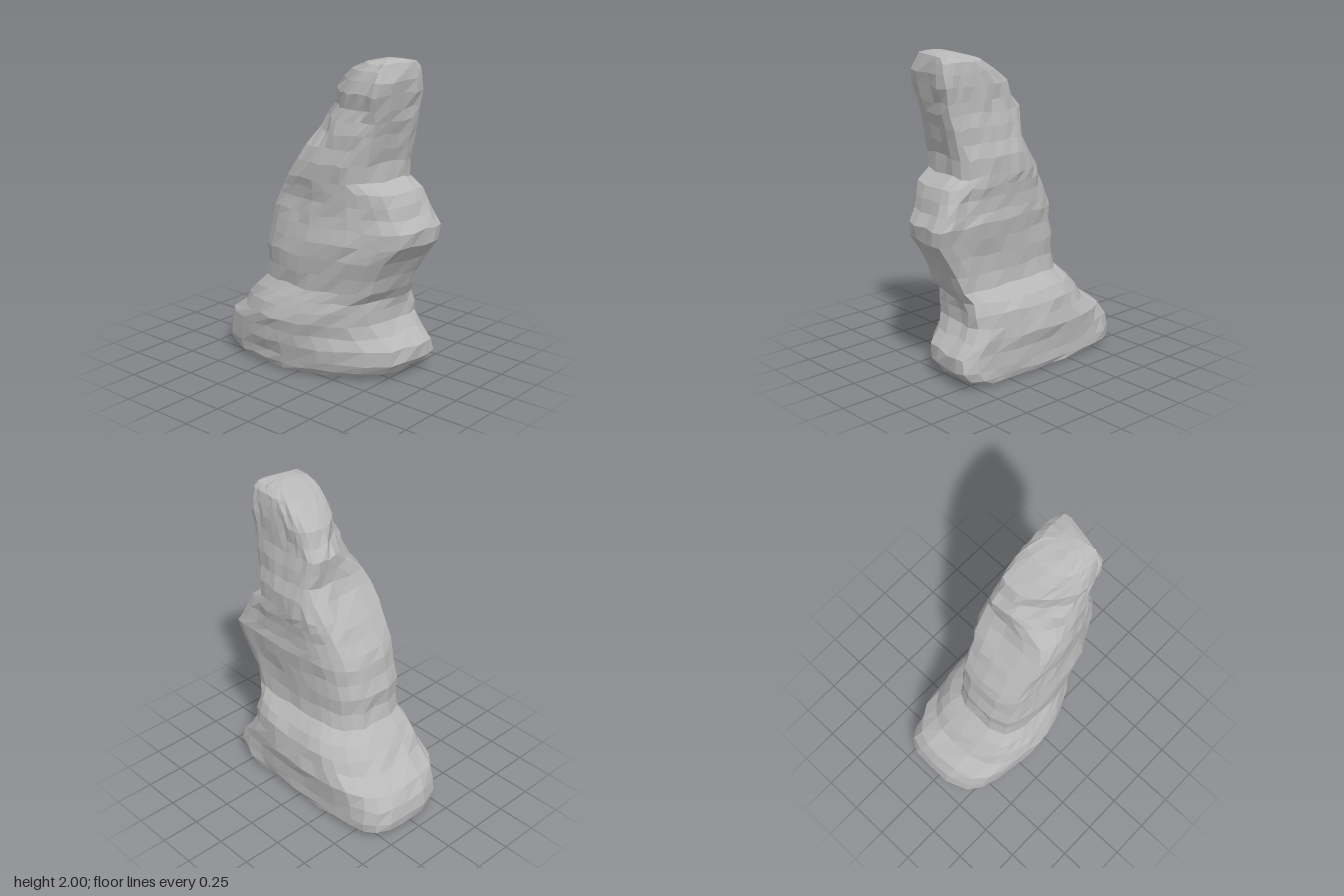
import * as THREE from 'three';

// Row: y, front z, back z, front-left x, front-right x, side x (-), side x (+), back x (-), back x (+)
const baseRows = [
  [0.015, 0.48, -0.62, -0.08, 0.31, -0.33, 0.35, -0.21, 0.27],
  [0.05, 0.56, -0.70, -0.06, 0.32, -0.35, 0.36, -0.22, 0.29],
  [0.11, 0.61, -0.71, -0.06, 0.31, -0.36, 0.36, -0.23, 0.29],
  [0.20, 0.61, -0.70, -0.06, 0.30, -0.38, 0.36, -0.23, 0.27],
  [0.28, 0.53, -0.65, -0.08, 0.30, -0.39, 0.38, -0.24, 0.23],
  [0.36, 0.48, -0.52, -0.12, 0.29, -0.40, 0.37, -0.26, 0.21],
  [0.44, 0.48, -0.46, -0.14, 0.28, -0.38, 0.36, -0.27, 0.19],
  [0.51, 0.48, -0.40, -0.15, 0.25, -0.35, 0.32, -0.27, 0.18],
  [0.58, 0.52, -0.33, -0.15, 0.21, -0.31, 0.24, -0.25, 0.15],
];
const bodyRows = [
  baseRows[8],
  [0.68, 0.56, -0.31, -0.15, 0.20, -0.32, 0.23, -0.25, 0.14],
  [0.79, 0.62, -0.32, -0.15, 0.20, -0.33, 0.23, -0.25, 0.14],
  [0.89, 0.70, -0.29, -0.13, 0.21, -0.32, 0.24, -0.26, 0.14],
  [0.99, 0.71, -0.27, -0.12, 0.23, -0.30, 0.25, -0.26, 0.15],
  [1.06, 0.66, -0.24, -0.13, 0.22, -0.29, 0.24, -0.26, 0.16],
  [1.14, 0.63, -0.19, -0.15, 0.20, -0.28, 0.24, -0.26, 0.17],
  [1.21, 0.60, -0.15, -0.16, 0.18, -0.29, 0.26, -0.26, 0.18],
  [1.27, 0.51, -0.11, -0.18, 0.18, -0.30, 0.26, -0.27, 0.19],
  [1.38, 0.51, -0.03, -0.19, 0.18, -0.30, 0.25, -0.27, 0.20],
];
const headRows = [
  bodyRows[9],
  [1.47, 0.53, 0.01, -0.19, 0.17, -0.28, 0.22, -0.24, 0.20],
  [1.56, 0.55, 0.01, -0.19, 0.17, -0.27, 0.21, -0.10, 0.19],
  [1.64, 0.57, 0.00, -0.18, 0.16, -0.25, 0.19, 0.00, 0.17],
  [1.71, 0.58, 0.06, -0.20, 0.16, -0.22, 0.18, -0.02, 0.16],
  [1.80, 0.60, 0.10, -0.22, 0.16, -0.23, 0.18, -0.05, 0.15],
  [1.88, 0.61, 0.19, -0.21, 0.15, -0.22, 0.17, -0.09, 0.14],
  [1.94, 0.60, 0.27, -0.18, 0.14, -0.20, 0.16, -0.12, 0.12],
  [1.975, 0.59, 0.37, -0.15, 0.11, -0.17, 0.12, -0.13, 0.09],
];

// Repeatable roughness in the range -1..1
function rough(a, b) {
  const s = Math.sin(a * 127.1 + b * 311.7) * 43758.5453;
  return 2 * (s - Math.floor(s)) - 1;
}

// Boxy, lopsided outline: firm corners, flat sides and a chamfered front left
const steps = [2, 2, 2, 3, 3, 2, 2, 2, 2, 3, 3, 2];
function ring([y, zf, zb, fl, fr, xl, xr, bl, br]) {
  const d = zf - zb, mix = THREE.MathUtils.lerp;
  const fullness = y > 1.5 ? 0.5 : 0.75;
  const curve = new THREE.CatmullRomCurve3([
    [fl, zf - 0.06], [mix(fl, fr, 0.6), zf - 0.015], [fr, zf - 0.01],
    [mix(fr, xr, 0.75), zf - 0.18 * d], [xr, zf - 0.52 * d], [mix(br, xr, 0.75), zb + 0.18 * d],
    [br, zb + 0.04 * d], [mix(bl, br, 0.6), zb], [bl, zb + 0.04 * d],
    [mix(bl, xl, fullness), zb + 0.2 * d], [xl, zf - 0.52 * d], [mix(fl, xl, 0.65), zf - 0.25 * d],
  ].map(([x, z]) => new THREE.Vector3(x, y, z)), true);
  const points = [];
  const amount = Math.min(1, 2 * d);
  steps.forEach((n, k) => {
    for (let i = 0; i < n; i++) {
      const p = curve.getPoint((k + i / n) / steps.length);
      const id = points.length + 1;
      p.x += 0.008 * amount * rough(id, y);
      p.z += 0.008 * amount * rough(id + 50, y);
      if (y > 0.04) p.y += 0.010 * amount * rough(id + 100, y);
      points.push(p);
    }
  });
  return points;
}

// Skin a stack of outlines, optionally closed below or above
function loft(rows, bottom, top) {
  const rings = rows.map(ring), n = rings[0].length;
  // A shrunken ring softens the top before it closes
  if (top) rings.push(rings[rings.length - 1].map((p) => p.clone().lerp(top, 0.5).setY(top.y - 0.006)));
  const points = rings.flat(), index = [];
  for (let r = 0; r < rings.length - 1; r++) {
    for (let i = 0; i < n; i++) {
      const a = r * n + i, b = r * n + (i + 1) % n;
      index.push(a, b, b + n, a, b + n, a + n);
    }
  }
  const cap = (center, start, up) => {
    const c = points.push(center) - 1;
    for (let i = 0; i < n; i++) {
      const a = start + i, b = start + (i + 1) % n;
      if (up) index.push(c, a, b);
      else index.push(c, b, a);
    }
  };
  if (bottom) cap(bottom, 0, false);
  if (top) cap(top, (rings.length - 1) * n, true);
  const geometry = new THREE.BufferGeometry().setFromPoints(points);
  geometry.setIndex(index);
  const flat = geometry.toNonIndexed();
  flat.computeVertexNormals();
  return flat;
}

export function createModel() {
  const stone = new THREE.MeshStandardMaterial({ color: 0xb8b8b8 });
  stone.name = 'grey stone';
  const group = new THREE.Group();
  group.name = 'standingRock';
  const add = (name, geometry) => {
    const mesh = new THREE.Mesh(geometry, stone);
    mesh.name = name;
    group.add(mesh);
  };
  // Broad foot, leaning column and rounded crown
  add('base', loft(baseRows, new THREE.Vector3(0.02, 0, -0.08), null));
  add('column', loft(bodyRows, null, null));
  add('crown', loft(headRows, null, new THREE.Vector3(-0.04, 2, 0.5)));
  return group;
}
